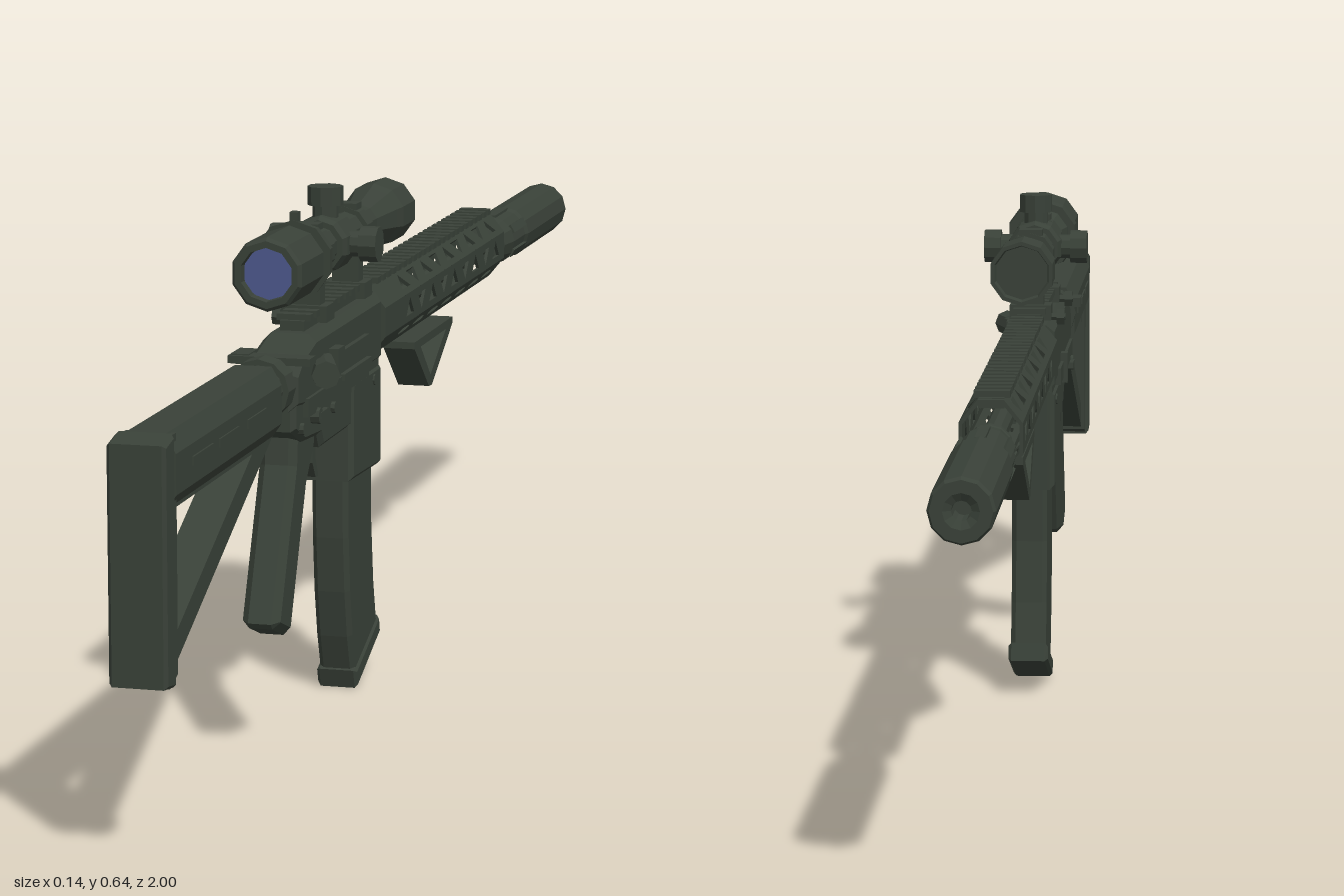
import * as THREE from 'three';

const green = new THREE.MeshStandardMaterial({ color: 0x394138, flatShading: true });
green.name = 'darkGreen';
const blue = new THREE.MeshStandardMaterial({ color: 0x4c588c });
blue.name = 'lensBlue';

export function createModel() {
  const model = new THREE.Group();
  model.name = 'longTubeModel';

  const add = (name, geo, x = 0, y = 0, z = 0, parent = model, mat = green) => {
    const m = new THREE.Mesh(geo, mat);
    m.name = name;
    m.position.set(x, y, z);
    parent.add(m);
    return m;
  };
  const box = (name, w, h, d, x, y, z, parent) => add(name, new THREE.BoxGeometry(w, h, d), x, y, z, parent);

  // Side profile of [z, y] points, extruded across x with an optional bevel
  const slab = (pts, width, holes = [], bevel = 0) => {
    const vec = (l) => l.map(([a, b]) => new THREE.Vector2(a, b));
    const s = new THREE.Shape(vec(pts));
    holes.forEach((h) => s.holes.push(new THREE.Path(vec(h))));
    const depth = width - 2 * bevel;
    const g = new THREE.ExtrudeGeometry(s, {
      depth, bevelEnabled: bevel > 0, bevelThickness: bevel, bevelSize: bevel, bevelOffset: -bevel, bevelSegments: 1,
    });
    return g.translate(0, 0, -depth / 2).rotateY(-Math.PI / 2);
  };
  // Turned part along z from [radius, z] points, listed with rising z
  const turned = (pts, sides = 12) =>
    new THREE.LatheGeometry(pts.map(([r, z]) => new THREE.Vector2(r, z)), sides).rotateX(Math.PI / 2);
  const rod = (r, len, axis, sides = 10) => {
    const g = new THREE.CylinderGeometry(r, r, len, sides);
    if (axis === 'x') g.rotateZ(Math.PI / 2);
    if (axis === 'z') g.rotateX(Math.PI / 2);
    return g;
  };

  // Shoulder stock with open triangular brace
  const stockSection = new THREE.Shape();
  [[-0.02, 0.39], [0.02, 0.39], [0.034, 0.41], [0.034, 0.455], [0.022, 0.476], [-0.022, 0.476], [-0.034, 0.455], [-0.034, 0.41]]
    .forEach(([x, y], i) => (i ? stockSection.lineTo(x, y) : stockSection.moveTo(x, y)));
  add('stockTube', new THREE.ExtrudeGeometry(stockSection, { depth: 0.41, bevelEnabled: false }), 0, 0, 0.555);
  add('stockBrace', slab([[0.965, 0.205], [0.965, 0.41], [0.555, 0.41], [0.555, 0.395]], 0.046,
    [[[0.94, 0.39], [0.94, 0.25], [0.64, 0.39]]]));
  add('stockUpright', slab([[0.945, 0.21], [0.975, 0.2], [0.975, 0.474], [0.945, 0.474]], 0.056));
  add('buttPlate', slab([[0.965, 0.2], [1, 0.205], [1, 0.47], [0.965, 0.477]], 0.066, [], 0.004));
  for (const s of [-1, 1]) for (const z of [0.66, 0.77, 0.87])
    box('stockRib', 0.004, 0.01, 0.075, s * 0.034, 0.436, z);
  add('bufferTube', turned([[0, 0.46], [0.03, 0.46], [0.03, 0.56], [0, 0.56]]), 0, 0.443);
  add('lockRing', turned([[0, 0.505], [0.037, 0.505], [0.037, 0.535], [0, 0.535]]), 0, 0.443);

  // Receiver
  add('upperReceiver', slab([[0.49, 0.41], [0.49, 0.455], [0.46, 0.474], [0.4, 0.488], [0.085, 0.488], [0.085, 0.4], [0.4, 0.4]], 0.066, [], 0.01));
  add('lowerReceiver', slab([[0.485, 0.425], [0.485, 0.385], [0.44, 0.365], [0.37, 0.36], [0.36, 0.343], [0.23, 0.343],
    [0.235, 0.275], [0.093, 0.27], [0.09, 0.425]], 0.06, [], 0.006));
  add('magazineWell', slab([[0.232, 0.4], [0.235, 0.275], [0.093, 0.27], [0.092, 0.4]], 0.066, [], 0.006));
  box('receiverBand', 0.074, 0.022, 0.28, 0, 0.408, 0.31);
  box('portCover', 0.008, 0.026, 0.12, 0.035, 0.438, 0.235);
  box('portFlap', 0.008, 0.008, 0.13, 0.037, 0.418, 0.235);
  add('assistKnob', rod(0.017, 0.035, 'z', 8).rotateY(0.35), 0.046, 0.444, 0.41);
  add('assistHousing', rod(0.015, 0.06, 'z', 8).rotateY(0.35), 0.034, 0.444, 0.37);
  box('deflector', 0.018, 0.032, 0.03, 0.036, 0.445, 0.33);
  for (const s of [-1, 1]) {
    add('selectorLever', rod(0.01, 0.012, 'x', 8), s * 0.035, 0.392, 0.41);
    box('selectorTab', 0.008, 0.008, 0.035, s * 0.038, 0.392, 0.395);
    for (const z of [0.46, 0.32, 0.13]) add('pin', rod(0.007, 0.07, 'x', 8), 0, 0.385, z);
  }
  box('boltCatch', 0.012, 0.04, 0.018, -0.036, 0.41, 0.245);
  box('chargingHandle', 0.1, 0.009, 0.026, 0, 0.47, 0.478);
  box('chargingLatch', 0.022, 0.012, 0.04, -0.037, 0.47, 0.465);

  // Grip, trigger and guard
  add('grip', slab([[0.455, 0.385], [0.46, 0.34], [0.536, 0.165], [0.53, 0.158], [0.482, 0.14], [0.474, 0.146],
    [0.405, 0.305], [0.37, 0.345], [0.36, 0.385]], 0.046, [], 0.009));
  add('trigger', slab([[0.322, 0.35], [0.322, 0.315], [0.308, 0.295], [0.298, 0.294], [0.298, 0.3], [0.308, 0.318], [0.308, 0.35]], 0.012));
  add('guardPost', slab([[0.376, 0.35], [0.376, 0.288], [0.369, 0.288], [0.362, 0.35]], 0.018));

  // Curved magazine
  add('magazine', slab([[0.224, 0.3], [0.222, 0.2], [0.215, 0.13], [0.203, 0.07], [0.184, 0.012],
    [0.074, 0.055], [0.09, 0.12], [0.1, 0.2], [0.1, 0.3]], 0.046, [], 0.006));
  add('magazineBase', slab([[0.192, 0.024], [0.184, 0], [0.069, 0.046], [0.075, 0.069]], 0.052, [], 0.004));

  // Eight-sided vented handguard
  const guard = new THREE.Group();
  guard.name = 'handguard';
  guard.position.y = 0.45;
  guard.scale.x = 0.82;
  model.add(guard);
  const half = 0.0186;
  const strip = [[0, -half], [0, half], [-0.58, half], [-0.58, -half]];
  const triangles = [], slots = [];
  for (let i = 0; i < 9; i++) {
    const z = -0.04 - i * 0.061, up = i % 2 ? -1 : 1;
    triangles.push([[z + 0.02, -0.01 * up], [z - 0.02, -0.01 * up], [z, 0.012 * up]]);
  }
  for (let i = 0; i < 7; i++) {
    const z = -0.05 - i * 0.078;
    slots.push([[z + 0.027, 0], [z + 0.021, 0.006], [z - 0.021, 0.006], [z - 0.027, 0], [z - 0.021, -0.006], [z + 0.021, -0.006]]);
  }
  for (let i = 0; i < 8; i++) {
    const a = i * Math.PI / 4;
    const holes = i === 2 ? [] : i > 4 ? slots : triangles;
    const panel = add('handguardPanel', slab(strip, 0.005, holes), Math.cos(a) * 0.0425, Math.sin(a) * 0.0425, 0, guard);
    panel.rotation.z = a;
  }
  const collar = turned([[0, 0], [0.0487, 0], [0.0487, 0.088], [0, 0.088]], 8);
  add('handguardCollar', collar.rotateZ(Math.PI / 8), 0, 0, 0, guard);
  add('barrel', rod(0.014, 0.7, 'z'), 0, 0.445, -0.3);

  // Top rails
  const rail = (z0, z1, y) => {
    box('railBase', 0.03, 0.012, z0 - z1, 0, y - 0.009, (z0 + z1) / 2);
    const n = Math.round((z0 - z1) / 0.027);
    for (let i = 0; i < n; i++) box('railTooth', 0.042, 0.008, 0.015, 0, y, z0 - (i + 0.5) * (z0 - z1) / n);
  };
  rail(0.07, -0.57, 0.499);
  rail(0.39, 0.09, 0.504);

  // Triangular hand stop below the handguard
  add('handStop', slab([[-0.127, 0.387], [-0.127, 0.378], [-0.205, 0.315], [-0.222, 0.314], [-0.337, 0.378], [-0.337, 0.387]], 0.042,
    [[[-0.16, 0.376], [-0.3, 0.376], [-0.214, 0.329]]]));

  // Muzzle tube with bore
  add('muzzleNeck', turned([[0, -0.64], [0.022, -0.64], [0.022, -0.612], [0.028, -0.605], [0.028, -0.595], [0.018, -0.59], [0.018, -0.57], [0, -0.57]]), 0, 0.443);
  add('muzzleTube', turned([[0, -0.96], [0.011, -0.96], [0.011, -0.995], [0.02, -1], [0.034, -1], [0.037, -0.994],
    [0.037, -0.74], [0.034, -0.73], [0.034, -0.66], [0.029, -0.62], [0, -0.62]]), 0, 0.443);
  for (let i = 0; i < 6; i++) {
    const a = (i + 0.5) * Math.PI / 3;
    box('muzzleRib', 0.01, 0.012, 0.08, Math.cos(a) * 0.031, 0.443 + Math.sin(a) * 0.031, -0.7).rotation.z = a;
  }

  // Telescopic sight
  const scope = new THREE.Group();
  scope.name = 'scope';
  scope.position.y = 0.573;
  model.add(scope);
  add('scopeBody', turned([[0, -0.045], [0.034, -0.045], [0.036, -0.055], [0.041, -0.055], [0.041, 0.005], [0.037, 0.02], [0.025, 0.08],
    [0.025, 0.345], [0.036, 0.365], [0.038, 0.39], [0.044, 0.4], [0.044, 0.495], [0.04, 0.5], [0.032, 0.5], [0.031, 0.485], [0, 0.485]], 10), 0, 0, 0, scope);
  add('zoomRing', turned([[0, 0.366], [0.046, 0.366], [0.048, 0.384], [0, 0.384]], 10), 0, 0, 0, scope);
  box('zoomTab', 0.01, 0.02, 0.014, 0, 0.047, 0.375, scope);
  add('rearLens', new THREE.CircleGeometry(0.031, 16), 0, 0, 0.488, scope, blue);
  add('turretBlock', turned([[0, 0.205], [0.032, 0.205], [0.036, 0.215], [0.036, 0.262], [0.032, 0.272], [0, 0.272]], 10), 0, 0, 0, scope);
  add('topTurret', rod(0.016, 0.05, 'y'), 0, 0.03, 0.238, scope);
  add('topTurretCap', rod(0.022, 0.023, 'y'), 0, 0.058, 0.238, scope);
  for (const s of [-1, 1]) {
    add('sideTurret', rod(0.016, 0.05, 'x'), s * 0.03, 0, 0.238, scope);
    add('sideTurretCap', rod(0.022, 0.022, 'x'), s * 0.057, 0, 0.238, scope);
  }

  // Sight mounts
  for (const z of [0.315, 0.135]) {
    add('mountRing', rod(0.031, 0.026, 'z', 10), 0, 0.573, z);
    box('mountRingCap', 0.03, 0.008, 0.024, 0, 0.604, z);
    box('mountPost', 0.034, 0.045, 0.022, 0, 0.53, z);
    box('mountClamp', 0.054, 0.02, 0.036, 0, 0.5, z);
    add('mountBolt', rod(0.005, 0.05, 'x', 6), -0.02, 0.493, z);
    add('mountNut', rod(0.011, 0.01, 'x', 6), -0.039, 0.493, z);
  }
  return model;
}
